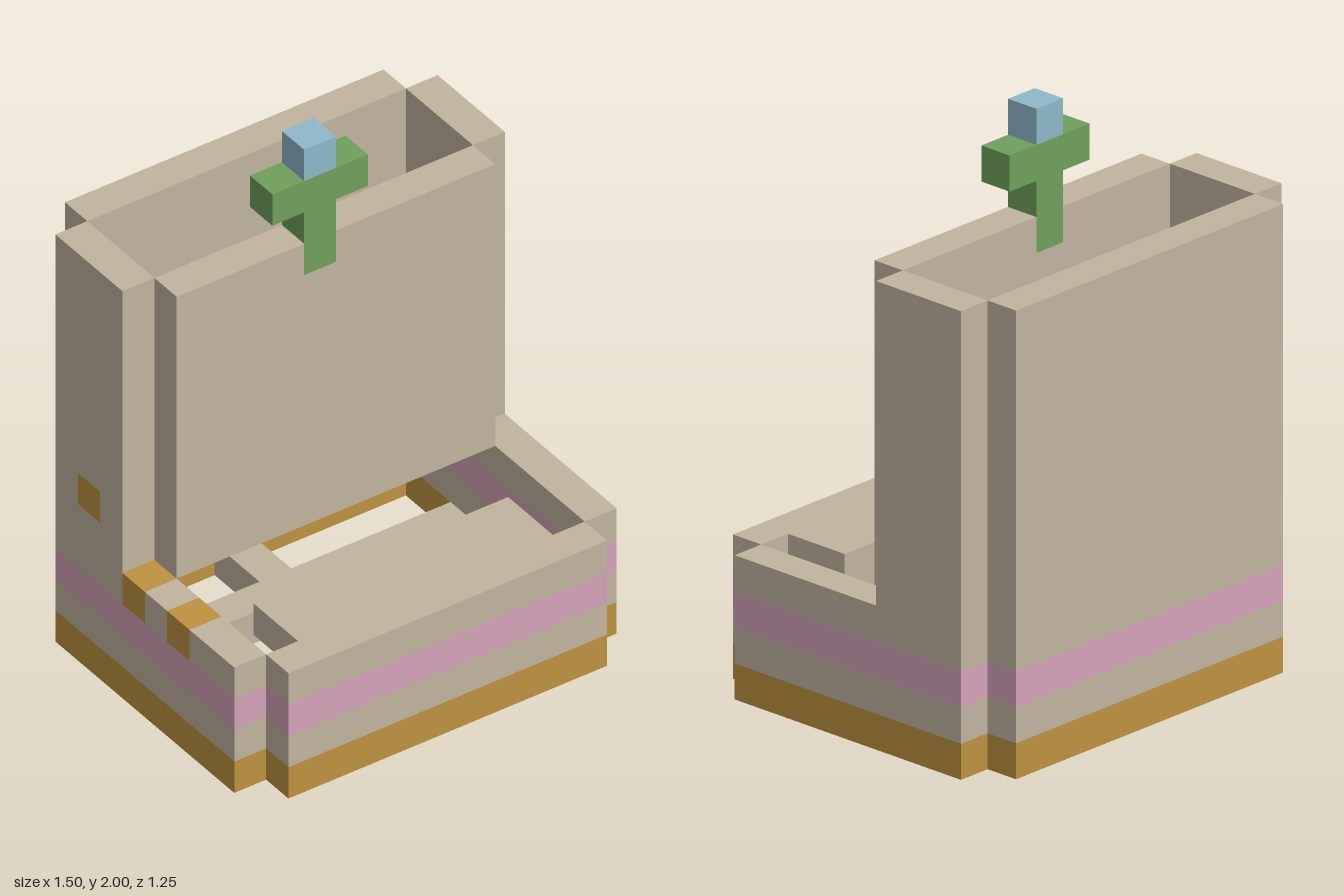
import * as THREE from 'three';

const U = 0.125; // one block
const mat = (color) => new THREE.MeshStandardMaterial({ color });

export function createModel() {
  const group = new THREE.Group();
  const stone = mat(0xc2b5a0), orange = mat(0xbe9240), pink = mat(0xd4a2b8);
  const green = mat(0x70a05c), blue = mat(0x8fb8ca);

  // Box from block-grid limits
  const block = (name, material, [x0, x1], [y0, y1], [z0, z1]) => {
    const geo = new THREE.BoxGeometry((x1 - x0) * U, (y1 - y0) * U, (z1 - z0) * U);
    const mesh = new THREE.Mesh(geo, material);
    mesh.position.set((x0 + x1) / 2 * U, (y0 + y1) / 2 * U, (z0 + z1) / 2 * U);
    mesh.name = name;
    group.add(mesh);
  };
  const LEFT = [5, 6], RIGHT = [-6, -5], WIDE = [-5, 5];

  // One-block-high row of a wall along z, split at the given stops, every second piece orange
  const studdedRow = (name, y, stops) => {
    for (let i = 0; i < stops.length - 1; i++) {
      block(i % 2 ? name + 'Stud' : name, i % 2 ? orange : stone, RIGHT, [y, y + 1], [stops[i], stops[i + 1]]);
    }
  };

  // Banded base ring
  [orange, stone, pink, stone].forEach((m, y) => {
    const h = [y, y + 1];
    block('baseFront', m, WIDE, h, [4, 5]);
    block('baseBack', m, WIDE, h, [-5, -4]);
    block('baseLeft', m, LEFT, h, [-4, 4]);
    if (y < 3) block('baseRight', m, RIGHT, h, [-4, 4]);
  });
  studdedRow('rightRail', 3, [-4, -1, 0, 1, 2, 4]);

  // Crossed floor beams
  block('floorBeamAcross', stone, WIDE, [0, 1], [-2, -1]);
  block('floorBeamBack', stone, [-1, 0], [0, 1], [-4, -2]);
  block('floorBeamFront', stone, [-1, 0], [0, 1], [-1, 4]);

  // Shelf behind the front wall
  block('shelf', stone, [-4, 4], [3, 4], [2, 4]);

  // Tall rear tower
  block('towerBack', stone, WIDE, [4, 13], [-5, -4]);
  block('towerLeft', stone, LEFT, [4, 13], [-4, -1]);
  block('towerRightLower', stone, RIGHT, [4, 5], [-4, -1]);
  studdedRow('towerRightMiddle', 5, [-4, -3, -2, -1]);
  block('towerRightUpper', stone, RIGHT, [6, 13], [-4, -1]);

  // Front panel, notched at the top for the figure
  block('frontPanel', stone, WIDE, [4, 12], [-1, 0]);
  block('frontPanelTopRight', stone, [-5, -1], [12, 13], [-1, 0]);
  block('frontPanelTopLeft', stone, [0, 5], [12, 13], [-1, 0]);

  // Figure on top
  block('figureBody', green, [-1, 0], [12, 14], [-1, 0]);
  block('figureArms', green, [-2, 1], [14, 15], [-1, 0]);
  block('figureHead', blue, [-1, 0], [15, 16], [-1, 0]);

  return group;
}
